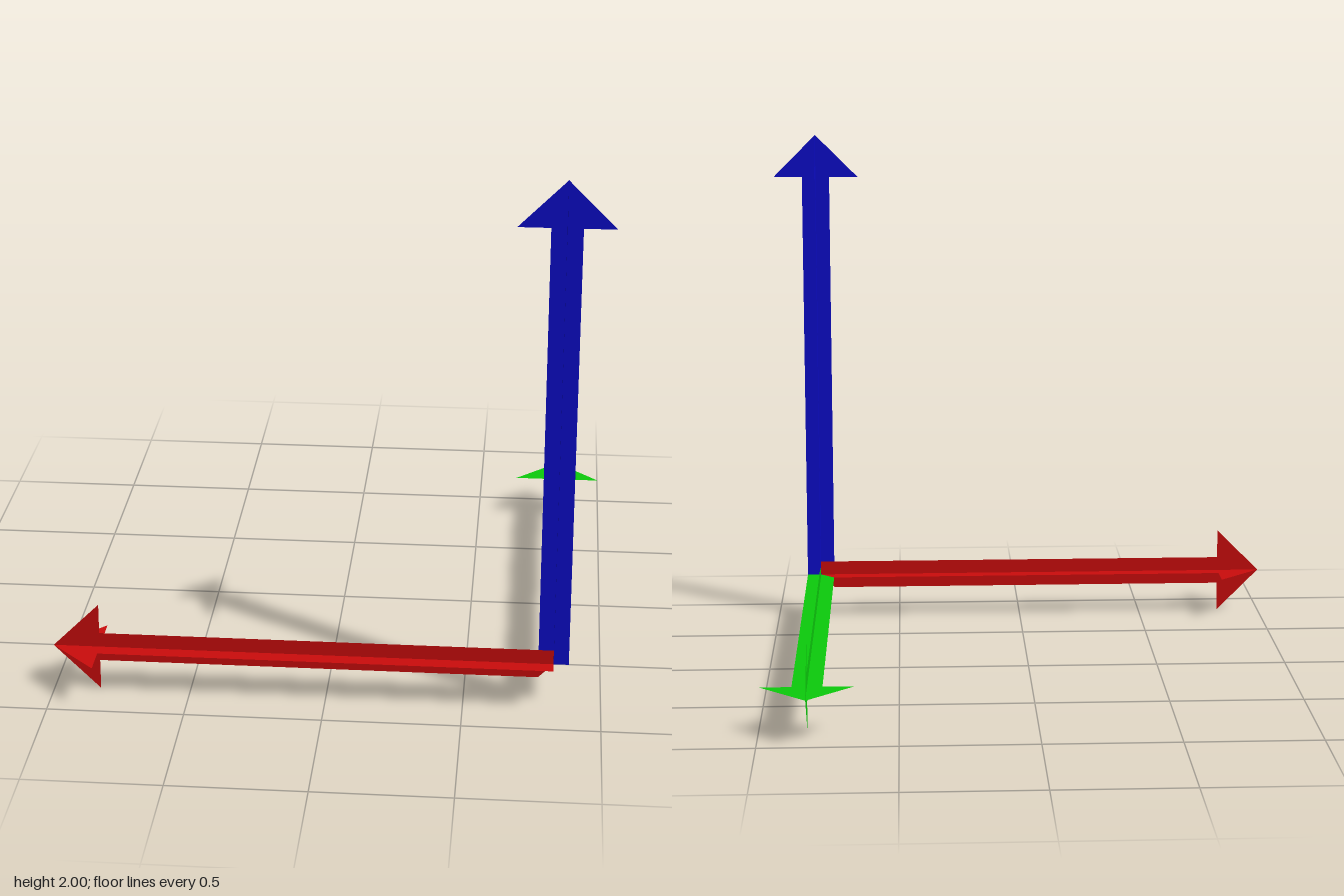
import * as THREE from 'three';

const ORIGIN = new THREE.Vector3(0.825, 0.175, 0.825);
const LENGTH = 1.825, HEAD_START = 1.655; // distances along an arrow
const H = 0.055, HEAD = 0.17;             // half widths of shaft and head

// Flat arrow outline: u runs along the arrow, v across it.
// "start" lists the corners of the shaft end from +v to -v.
function arrowPlate(name, material, along, across, start) {
  const outline = [
    ...start,
    [HEAD_START, -H], [HEAD_START, -HEAD], [LENGTH, 0], [HEAD_START, HEAD], [HEAD_START, H],
  ];
  const shape = new THREE.Shape(outline.map(([u, v]) => new THREE.Vector2(u, v)));
  const geometry = new THREE.ShapeGeometry(shape);
  const normal = new THREE.Vector3().crossVectors(along, across);
  geometry.applyMatrix4(new THREE.Matrix4().makeBasis(along, across, normal).setPosition(ORIGIN));
  const mesh = new THREE.Mesh(geometry, material);
  mesh.name = name;
  return mesh;
}

function flatColour(name, color) {
  const material = new THREE.MeshStandardMaterial({ color, side: THREE.DoubleSide });
  material.name = name;
  return material;
}

export function createModel() {
  const model = new THREE.Group();
  model.name = 'axisArrows';

  const X = new THREE.Vector3(1, 0, 0);
  const Y = new THREE.Vector3(0, 1, 0);
  const Z = new THREE.Vector3(0, 0, 1);

  // Shaft ends: square, mitred, and notched where another arrow's plate meets it
  const square = [[0, H], [0, -H]];
  const mitred = [[0, H], [0, 0], [H, -H]];
  const notchedBelow = [[0, H], [0, 0], [H, 0], [H, -H]];
  const notchedAbove = [[H, H], [H, 0], [0, 0], [H, -H]];

  // Each arrow is a pair of crossed plates
  const arrows = [
    ['redArrow', flatColour('red', 0xcc0c0c), X.clone().negate(), [[Y, mitred], [Z, mitred]]],
    ['greenArrow', flatColour('green', 0x0ccc0c), Z.clone().negate(), [[Y, notchedAbove], [X, mitred]]],
    ['blueArrow', flatColour('blue', 0x0c0ccc), Y, [[X, notchedBelow], [Z, square]]],
  ];
  for (const [name, material, along, plates] of arrows) {
    const arrow = new THREE.Group();
    arrow.name = name;
    plates.forEach(([across, start], i) => {
      arrow.add(arrowPlate(`${name}Plate${i + 1}`, material, along, across, start));
    });
    model.add(arrow);
  }
  return model;
}
